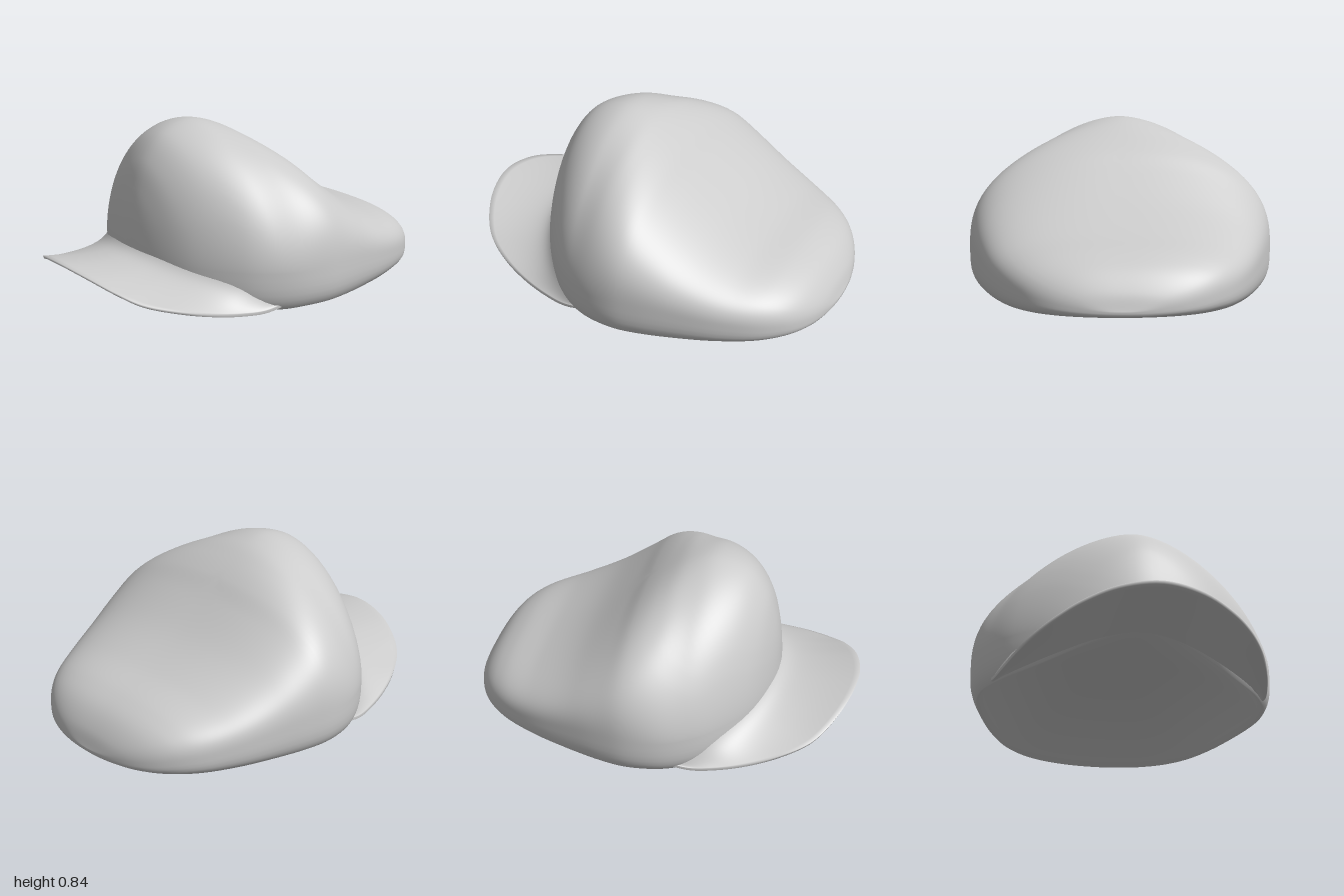
import * as THREE from 'three';

const V = (x, y, z) => new THREE.Vector3(x, y, z);
const mat = new THREE.MeshStandardMaterial({ color: 0xcccccc, side: THREE.DoubleSide });
const spline = (pts, closed = false) => new THREE.CatmullRomCurve3(pts, closed);
const mirror = pts => [...pts, ...pts.slice(0, -1).reverse().map(p => V(-p.x, p.y, p.z))];

// Linear lookup in a sampled list of [key, value], keys ascending
function lookup(table, k) {
  if (k <= table[0][0]) return table[0][1];
  for (let i = 1; i < table.length; i++) {
    const [k1, v1] = table[i], [k0, v0] = table[i - 1];
    if (k <= k1) return v0 + (v1 - v0) * (k - k0) / (k1 - k0 || 1);
  }
  return table[table.length - 1][1];
}

// Smooth skin over rows of points; closed rows wrap around, and their first and last rows are poles
function skin(rows, closed) {
  const n = rows[0].length, last = rows.length - 1, index = [];
  const id = (r, c) => r * n + (closed ? (r === 0 || r === last ? 0 : c % n) : c);
  const tri = (a, b, c) => { if (a !== b && b !== c && a !== c) index.push(a, b, c); };
  for (let r = 0; r < last; r++) {
    for (let c = 0; c < (closed ? n : n - 1); c++) {
      const a = id(r, c), b = id(r, c + 1), d = id(r + 1, c), e = id(r + 1, c + 1);
      tri(a, b, d);
      tri(b, e, d);
    }
  }
  const g = new THREE.BufferGeometry().setFromPoints(rows.flat());
  g.setIndex(index);
  g.computeVertexNormals();
  return g;
}

function crownGeometry() {
  const N = 128, C = V(0, 0, -0.1);
  // Plan outline, back to front
  const half = [[0, -1], [0.16, -0.988], [0.31, -0.948], [0.43, -0.88], [0.535, -0.77], [0.63, -0.595], [0.705, -0.39],
    [0.758, -0.2], [0.777, -0.06], [0.755, 0.09], [0.69, 0.23], [0.6, 0.34], [0.4, 0.485], [0.2, 0.56], [0, 0.588]]
    .map(([x, z]) => V(x, 0, z));
  const outline = spline(mirror(half).slice(0, -1), true).getPoints(N).slice(0, N);
  const widths = outline.slice(0, N / 2 + 1).map(p => [p.z, Math.max(p.x, 1e-4)]);
  // Centre-line height, back to front
  const ridge = spline([[-1, 0.05], [-0.97, 0.135], [-0.9, 0.225], [-0.8, 0.285], [-0.6, 0.35], [-0.4, 0.45],
    [-0.2, 0.6], [-0.1, 0.69], [0, 0.762], [0.1, 0.815], [0.24, 0.84], [0.4, 0.785], [0.5, 0.665], [0.55, 0.525],
    [0.577, 0.38], [0.588, 0.2]].map(([z, y]) => V(0, y, z))).getPoints(300).map(p => [p.z, p.y]);
  const widest = z => lookup([[-1, 0.05], [-0.85, 0.1], [-0.3, 0.19], [0, 0.2]], z);
  // Sections are peaked at the front and flatter on top at the back
  const power = z => 1.75 + 0.9 * THREE.MathUtils.smoothstep(-z, -0.2, 0.2);

  const plan = (p, s) => V(C.x + (p.x - C.x) * s, 0, C.z + (p.z - C.z) * s);
  const dome = (p, s) => {
    const q = plan(p, s), y0 = widest(q.z), k = power(q.z);
    const r = Math.min(1, Math.abs(q.x) / lookup(widths, q.z));
    q.y = s === 1 ? y0 : y0 + (lookup(ridge, q.z) - y0) * Math.pow(1 - r ** k, 1 / k);
    return q;
  };
  // Opening edge arches up above the brim and dips at its corners
  const hem = p => 0.015 - 0.01 * Math.exp(-(((p.z - 0.2) / 0.13) ** 2))
    + (p.z > 0 && Math.abs(p.x) < 0.65 ? 0.15 * Math.cos(Math.PI * p.x / 1.3) ** 2 : 0);

  const rows = [], R = 44, L = 24, inset = 0.05;
  for (let i = 0; i <= R; i++) rows.push(outline.map(p => dome(p, 1 - (1 - i / R) ** 2.4)));
  // Rolled hem
  for (const k of [0.2, 0.4, 0.6, 0.75, 0.85, 0.92, 0.97, 1]) {
    rows.push(outline.map(p => {
      const q = plan(p, 1 - inset * k ** 4), y0 = widest(p.z);
      q.y = y0 + (hem(p) - y0) * k;
      return q;
    }));
  }
  // Shallow hollow underside
  for (let i = L - 1; i >= 0; i--) {
    const s = i / L;
    rows.push(outline.map(p => {
      const q = plan(p, (1 - inset) * s);
      q.y = hem(p) + (0.28 - hem(p)) * (1 - s ** 2.5);
      return q;
    }));
  }
  return skin(rows, true);
}

function brimGeometry() {
  const M = 96, K = 20;
  const curve = pts => spline(mirror(pts.map(p => V(...p)).reverse())).getPoints(M);
  const seam = curve([[0, 0.19, 0.573], [0.2, 0.18, 0.547], [0.4, 0.148, 0.47], [0.58, 0.11, 0.335],
    [0.66, 0.085, 0.2], [0.7, 0.075, 0.05]]);
  const edge = curve([[0, 0.222, 1], [0.2, 0.197, 0.967], [0.36, 0.143, 0.893], [0.455, 0.1, 0.815],
    [0.545, 0.065, 0.68], [0.61, 0.037, 0.53], [0.655, 0.02, 0.38], [0.685, 0.02, 0.24], [0.705, 0.07, 0.06]]);
  const under = curve([[0, 0.165, 0.557], [0.2, 0.133, 0.535], [0.4, 0.07, 0.465], [0.58, 0.022, 0.335],
    [0.65, 0.03, 0.2], [0.69, 0.075, 0.05]]);
  const rows = [];
  // Upper face, slightly dished, with a fillet against the crown
  for (let i = 0; i <= K; i++) {
    const t = (i / K) ** 1.5;
    rows.push(seam.map((p, c) => {
      const q = p.clone().lerp(edge[c], t);
      q.y += 0.05 * Math.exp(-p.distanceTo(q) / 0.04) * (1 - t) - 0.012 * Math.sin(Math.PI * t);
      return q;
    }));
  }
  // Underside, from the thin rounded edge back to the opening
  for (let i = 0; i <= K; i++) {
    const t = 0.015 + 0.985 * i / K;
    rows.push(edge.map((p, c) => {
      const q = p.clone().lerp(under[c], t);
      q.y = Math.max(0, q.y - 0.014 * (1 - t) - 0.012 * Math.sin(Math.PI * t));
      return q;
    }));
  }
  return skin(rows, false);
}

export function createModel() {
  const cap = new THREE.Group();
  cap.name = 'cap';
  for (const [name, geometry] of [['crown', crownGeometry()], ['brim', brimGeometry()]]) {
    const mesh = new THREE.Mesh(geometry, mat);
    mesh.name = name;
    cap.add(mesh);
  }
  return cap;
}
